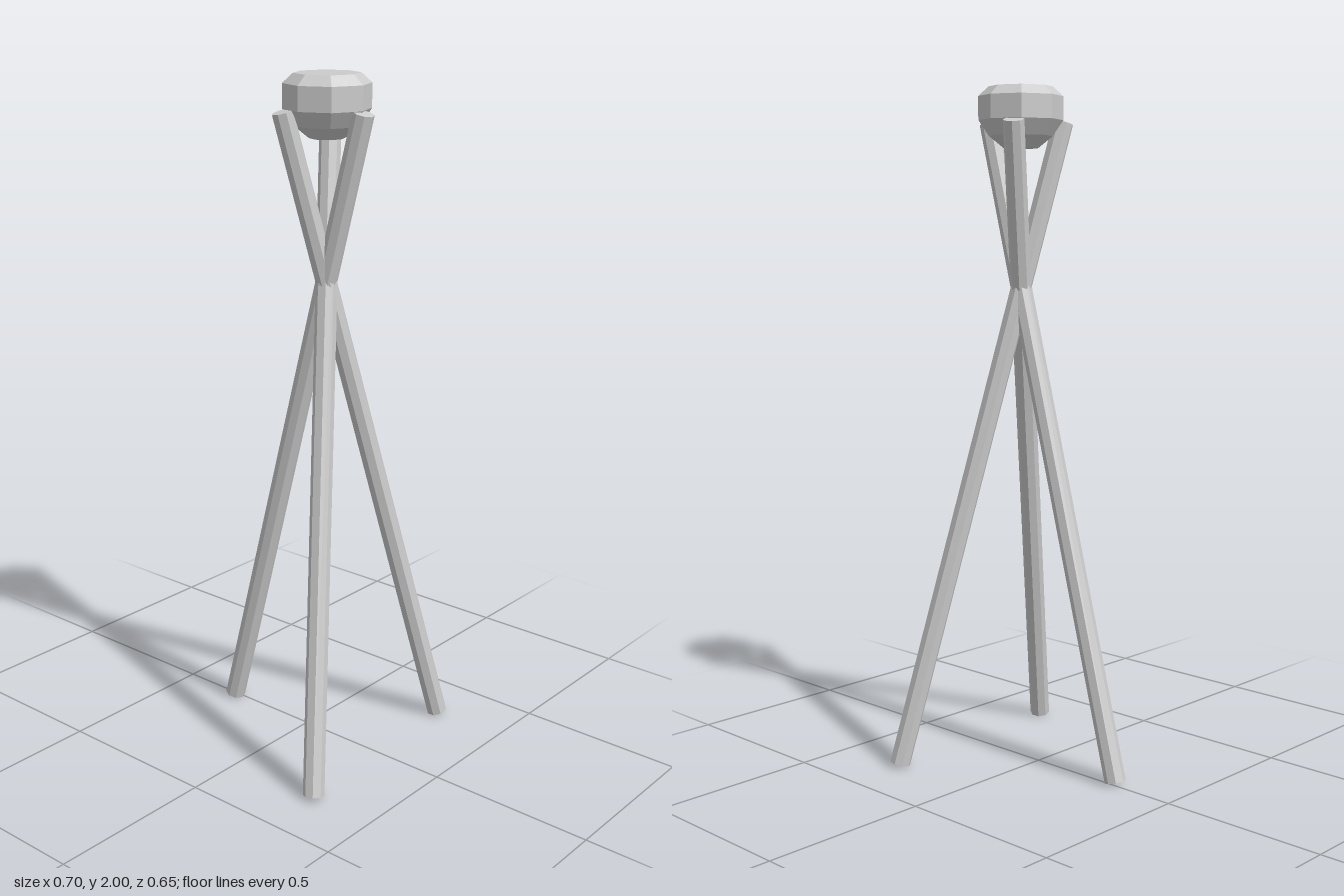
import * as THREE from 'three';

const material = new THREE.MeshStandardMaterial({ color: 0xcccccc, flatShading: true });

// Eight-sided pole between two points, turned about y first and then tilted
function pole(name, foot, top) {
  const a = new THREE.Vector3(...foot);
  const b = new THREE.Vector3(...top);
  const d = b.clone().sub(a);
  const mesh = new THREE.Mesh(new THREE.CylinderGeometry(0.031, 0.031, d.length(), 8), material);
  mesh.name = name;
  mesh.rotation.order = 'YXZ';
  mesh.rotation.y = Math.atan2(d.x, d.z);
  mesh.rotation.x = Math.atan2(Math.hypot(d.x, d.z), d.y);
  mesh.position.copy(a).add(b).multiplyScalar(0.5);
  return mesh;
}

export function createModel() {
  const model = new THREE.Group();
  model.name = 'tripodStand';

  // Three poles crossing at about three quarters of their height
  model.add(
    pole('backLeg', [-0.01, 0.008, -0.296], [-0.01, 1.9, 0.206]),
    pole('leftLeg', [0.318, 0.008, 0.27], [-0.121, 1.9, 0.016]),
    pole('rightLeg', [-0.32, 0.008, 0.297], [0.096, 1.9, 0.006]),
  );

  // Faceted bowl resting between the pole tops, closed by a flat lid
  const profile = [
    [0, 1.825], [0.05, 1.825], [0.093, 1.86], [0.123, 1.905],
    [0.123, 1.973], [0.093, 2], [0, 2],
  ].map(([r, y]) => new THREE.Vector2(r, y));
  const bowl = new THREE.Mesh(new THREE.LatheGeometry(profile, 8), material);
  bowl.name = 'bowl';
  bowl.position.set(-0.01, 0, 0.08);
  model.add(bowl);

  return model;
}
